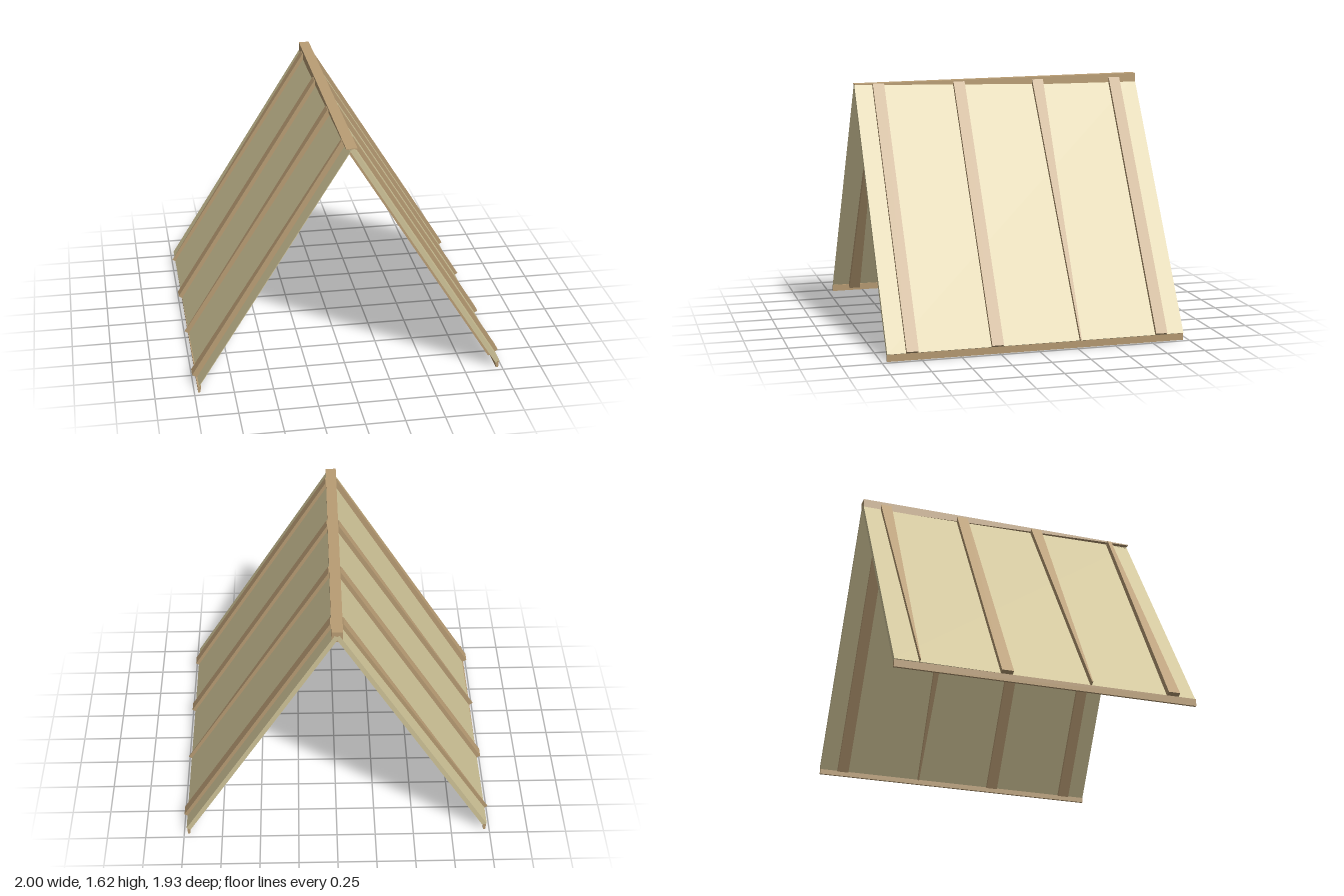
import * as THREE from 'three';

const wood = new THREE.MeshStandardMaterial({ color: 0xb99d74, flatShading: true, side: THREE.DoubleSide });
const board = new THREE.MeshStandardMaterial({ color: 0xd0c498, flatShading: true, side: THREE.DoubleSide });

// Box whose corners are moved by a rule, for tapered timber
function timber(name, material, [w, h, d], rule) {
  const geometry = new THREE.BoxGeometry(w, h, d);
  const p = geometry.attributes.position;
  const v = new THREE.Vector3();
  if (rule) {
    for (let i = 0; i < p.count; i++) {
      rule(v.fromBufferAttribute(p, i));
      p.setXYZ(i, v.x, v.y, v.z);
    }
  }
  geometry.computeVertexNormals();
  const mesh = new THREE.Mesh(geometry, material);
  mesh.name = name;
  return mesh;
}

export function createModel() {
  const model = new THREE.Group();
  model.name = 'aFrameRoof';
  const length = 1.817, depth = 1.93, beam = 0.075;
  const slope = Math.atan2(0.962, 1.542);

  // Width factors of each rafter at [foot, ridge], from back to front
  const rafters = {
    '1': [[1, 1], [0.1, 1], [1, 1], [1, 1]],
    '-1': [[0.06, 1], [1, 1], [0.1, 1], [1, 0.35]],
  };
  const stations = [-0.81, -0.27, 0.27, 0.81];

  for (const s of [1, -1]) {
    // Leaning side, with its origin at the foot and y running up the slope
    const side = new THREE.Group();
    side.name = s > 0 ? 'leftSlope' : 'rightSlope';
    side.position.set(s * 0.97, 0.04, 0);
    side.rotation.z = s * slope;

    // Roof panel, thinner towards the front on one side
    const panel = timber('roofPanel', board, [0.03, length + 0.012, depth], (v) => {
      if (s < 0 && v.z > 0) v.x *= 0.12;
    });
    panel.position.y = (length + 0.012) / 2;
    side.add(panel);

    // Rafters straddling the panel
    stations.forEach((z, i) => {
      const [foot, ridge] = rafters[s][i];
      const rafter = timber('rafter', wood, [beam, length, beam], (v) => {
        v.z *= v.y < 0 ? foot : ridge;
        if (ridge < 1 && v.y > 0) v.z += 0.01;
      });
      rafter.position.set(0, length / 2, z);
      side.add(rafter);
    });
    model.add(side);

    // Ground strip under the eave, narrowing to the bottom
    const strip = timber('groundStrip', wood, [0.022, 0.045, depth], (v) => {
      if (v.y < 0) v.x *= 0.7;
    });
    strip.position.set(s * 0.968, 0.0225, 0);
    model.add(strip);
  }

  // Ridge beam, wedge shaped towards the front
  const ridgeBeam = timber('ridgeBeam', wood, [0.07, 0.07, depth], (v) => {
    if (v.z > 0) v.y = 0.008 + v.y * 0.08;
  });
  ridgeBeam.position.y = 1.59;
  model.add(ridgeBeam);

  return model;
}
